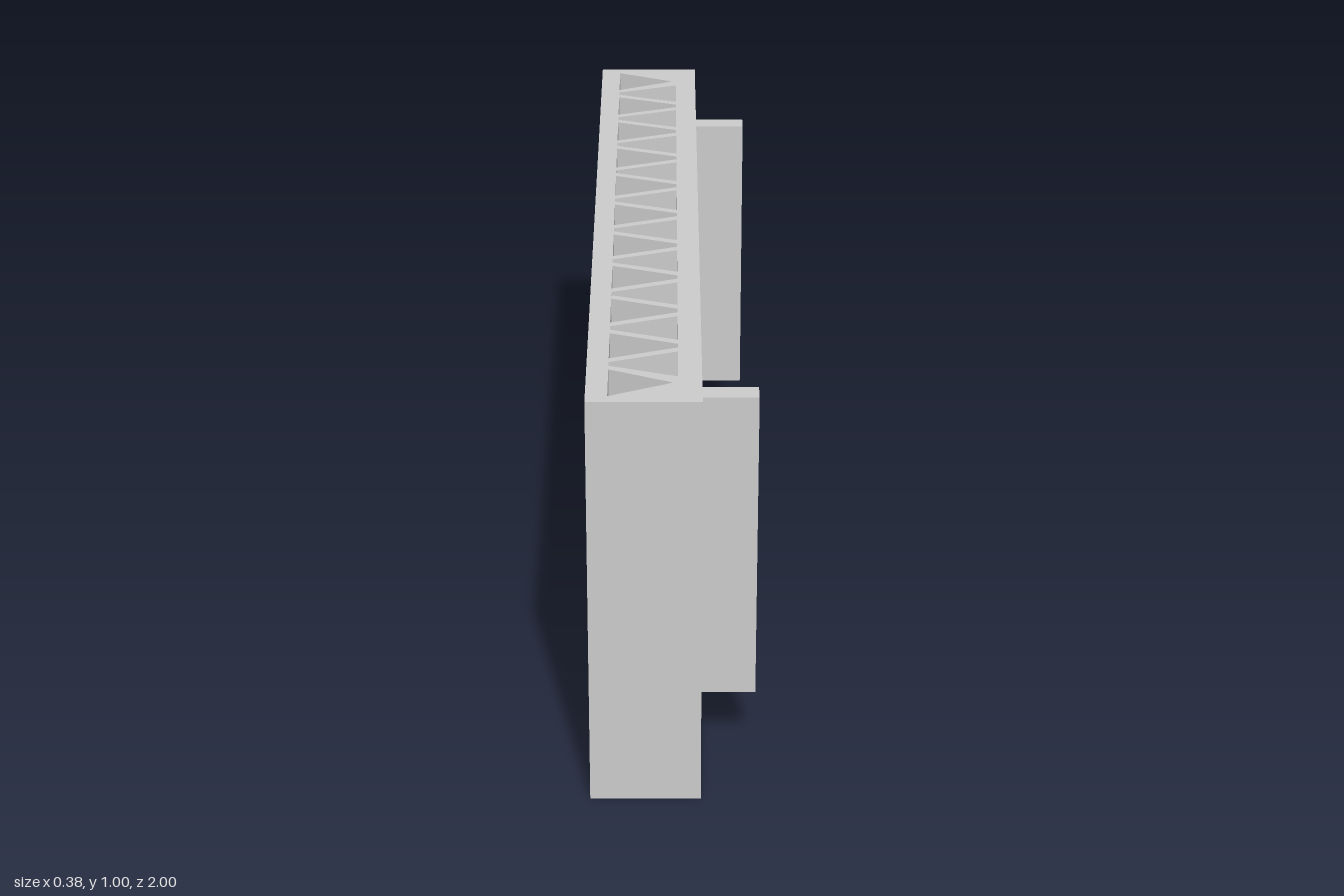
import * as THREE from 'three';

const material = new THREE.MeshStandardMaterial({ color: 0xcccccc, flatShading: true });
const X0 = -0.1875, X1 = 0.0615;   // outer faces of the body
const CELL_IN = -0.14, CELL_OUT = 0.01;
const PITCH = 0.1815;              // spacing of the truss cells

function named(geometry, name) {
  const mesh = new THREE.Mesh(geometry, material);
  mesh.name = name;
  return mesh;
}

function path(points) {
  return new THREE.Path(points.map(([x, z]) => new THREE.Vector2(x, z)));
}

// Slab with triangular truss cells running right through it, open on the ribbed face
function bodyGeometry() {
  const shape = new THREE.Shape([[X0, -1], [X1, -1], [X1, 1], [X0, 1]].map(p => new THREE.Vector2(...p)));
  const cell = (base, tip, z, half) => path([
    [base, z - half], [tip, z - 0.009], [tip, z + 0.009], [base, z + half],
  ]);
  for (let i = -5; i <= 5; i++) {
    const z = i * PITCH;
    if (Math.abs(i) < 5) {
      shape.holes.push(cell(CELL_IN, CELL_OUT, z, 0.063));
    } else {
      // end cells come to a sharp point
      shape.holes.push(path([[CELL_IN, z - 0.064], [0, z], [CELL_IN, z + 0.064]]));
    }
  }
  for (let i = -5; i < 5; i++) {
    shape.holes.push(cell(CELL_OUT, CELL_IN, (i + 0.5) * PITCH, 0.061));
  }
  const geo = new THREE.ExtrudeGeometry(shape, { depth: 1, bevelEnabled: false });
  geo.rotateX(-Math.PI / 2);

  // Drop the flat -x wall; the ribbed panel takes its place
  const flat = geo.index ? geo.toNonIndexed() : geo;
  const p = flat.attributes.position, kept = [];
  for (let t = 0; t < p.count; t += 3) {
    if ([0, 1, 2].every(k => Math.abs(p.getX(t + k) - X0) < 1e-5)) continue;
    for (let k = 0; k < 3; k++) kept.push(p.getX(t + k), p.getY(t + k), p.getZ(t + k));
  }
  return facesFrom(kept);
}

function facesFrom(positions) {
  const geo = new THREE.BufferGeometry();
  geo.setAttribute('position', new THREE.Float32BufferAttribute(positions, 3));
  geo.computeVertexNormals();
  return geo;
}

// Outer wall with nine shallow vertical V grooves, each closed by a sloping end
function panelGeometry() {
  const grooves = 9, width = 0.1825, depth = 0.02, start = -grooves * width / 2;
  const columns = [{ z: -1, deep: false }];
  for (let i = 0; i <= grooves * 2; i++) columns.push({ z: start + i * width / 2, deep: i % 2 === 1 });
  columns.push({ z: 1, deep: false });

  const rows = [0, 0.09, 0.13, 0.87, 0.91, 1];
  const point = (c, r) => {
    const inner = r === 2 || r === 3;
    // on the ridges the inner rows join the groove ends
    const y = inner && !c.deep ? rows[r === 2 ? 1 : 4] : rows[r];
    return [X0 + (inner && c.deep ? depth : 0), y, c.z];
  };
  const out = [];
  const same = (a, b) => a.every((v, k) => v === b[k]);
  const tri = (a, b, c) => {
    if (!same(a, b) && !same(b, c) && !same(a, c)) out.push(...a, ...b, ...c);
  };
  for (let i = 0; i < columns.length - 1; i++) {
    for (let r = 0; r < rows.length - 1; r++) {
      const a = point(columns[i], r), b = point(columns[i + 1], r);
      const c = point(columns[i + 1], r + 1), d = point(columns[i], r + 1);
      tri(a, b, c);
      tri(a, c, d);
    }
  }
  return facesFrom(out);
}

export function createModel() {
  const model = new THREE.Group();
  model.name = 'trussPanel';
  model.add(named(bodyGeometry(), 'trussCore'), named(panelGeometry(), 'groovedWall'));

  // Two upright rails on the flat side
  for (const [name, z] of [['frontRail', 0.78], ['backRail', -0.825]]) {
    const rail = named(new THREE.BoxGeometry(0.1875 - X1, 0.754, 0.05), name);
    rail.position.set((0.1875 + X1) / 2, 0.536, z);
    model.add(rail);
  }
  return model;
}
